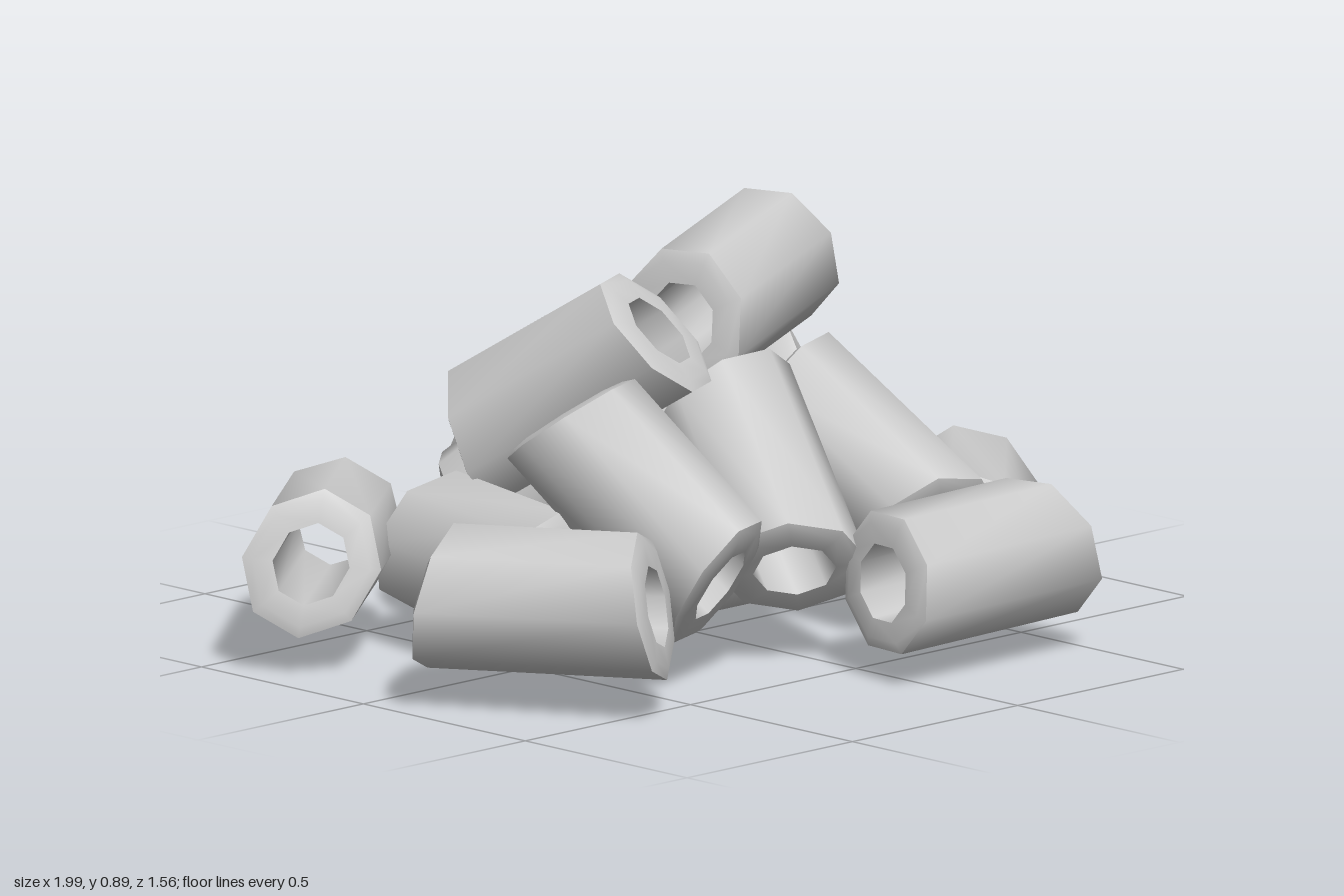
import * as THREE from 'three';
import { toCreasedNormals } from 'three/addons/utils/BufferGeometryUtils.js';

const LENGTH = 0.5, OUTER = 0.163, INNER = 0.09, SLANT = 0.21, FLATTEN = 0.91;

// Eight-sided tube along y with a bevelled rim, slightly flattened in z;
// both ends are cut at a slant, so the +x side is longest.
function tubeGeometry() {
  const h = LENGTH / 2;
  const profile = [
    [INNER, -h], [OUTER - 0.025, -h], [OUTER, -h + 0.01],
    [OUTER, h - 0.01], [OUTER - 0.025, h], [INNER, h], [INNER, -h],
  ].map(([r, y]) => new THREE.Vector2(r, y));
  const geo = new THREE.LatheGeometry(profile, 8, Math.PI / 8);
  const p = geo.attributes.position;
  for (let i = 0; i < p.count; i++) {
    p.setY(i, p.getY(i) + Math.sign(p.getY(i)) * SLANT * p.getX(i));
    p.setZ(i, p.getZ(i) * FLATTEN);
  }
  return toCreasedNormals(geo, 0.95);
}

// Each tube: name, the two end centres, direction of its longest side
const DOWN = [0, -1, 0];
const TUBES = [
  // ring of loose tubes on the ground
  ['backRightTube', [-0.88, 0.25, -0.285], [-0.485, 0.22, -0.61], [-0.4, -1, -0.4]],
  ['backTube', [-0.02, 0.24, -0.635], [0.48, 0.27, -0.6], [0, -1, 0.3]],
  ['outerRightTube', [-0.87, 0.24, 0.07], [-0.62, 0.25, 0.54], [-0.4, -1, 0.1]],
  ['outerLeftTube', [0.53, 0.165, 0.3], [0.89, 0.165, -0.06], [0.45, -1, 0.45]],
  ['frontTube', [-0.05, 0.225, 0.63], [0.46, 0.23, 0.62], [0, -0.7, 0.8]],
  // tubes lying under the pile
  ['lowerLeftTube', [0.2, 0.23, -0.38], [0.535, 0.23, -0.045], [0.3, -1, -0.3]],
  ['lowerRightTube', [-0.465, 0.23, -0.3], [-0.545, 0.22, 0.12], [-0.6, -1, 0]],
  ['lowerMiddleTube', [-0.35, 0.205, -0.02], [0.15, 0.205, -0.02], DOWN],
  // tubes leaning on the pile
  ['leaningBackLeftTube', [0.34, 0.51, -0.23], [0.675, 0.245, -0.435], [0.5, -0.4, 0.8]],
  ['leaningBackTube', [0.03, 0.52, -0.17], [-0.23, 0.21, -0.46], DOWN],
  ['leaningFrontRightTube', [-0.47, 0.575, 0.095], [-0.35, 0.24, 0.435], DOWN],
  ['leaningFrontTube', [0.02, 0.545, 0.07], [-0.11, 0.235, 0.42], [1, 0, 0.2]],
  ['leaningFrontLeftTube', [0.29, 0.5, -0.01], [0.33, 0.25, 0.4], [1, -0.2, 0.1]],
  // tubes on top
  ['upperRightTube', [-0.2, 0.71, 0.075], [-0.36, 0.465, -0.28], DOWN],
  ['topTube', [-0.04, 0.695, -0.005], [0.44, 0.755, -0.18], DOWN],
];

export function createModel() {
  const group = new THREE.Group();
  group.name = 'tubePile';
  const geometry = tubeGeometry();
  const material = new THREE.MeshStandardMaterial({ color: 0xcccccc });

  for (const [name, a, b, longSide] of TUBES) {
    const start = new THREE.Vector3(...a), end = new THREE.Vector3(...b);
    const axis = end.clone().sub(start).normalize();
    const side = new THREE.Vector3(...longSide);
    side.addScaledVector(axis, -side.dot(axis)).normalize();
    const third = new THREE.Vector3().crossVectors(side, axis);

    const tube = new THREE.Mesh(geometry, material);
    tube.name = name;
    tube.quaternion.setFromRotationMatrix(new THREE.Matrix4().makeBasis(side, axis, third));
    tube.position.copy(start).add(end).multiplyScalar(0.5);
    group.add(tube);
  }
  return group;
}
